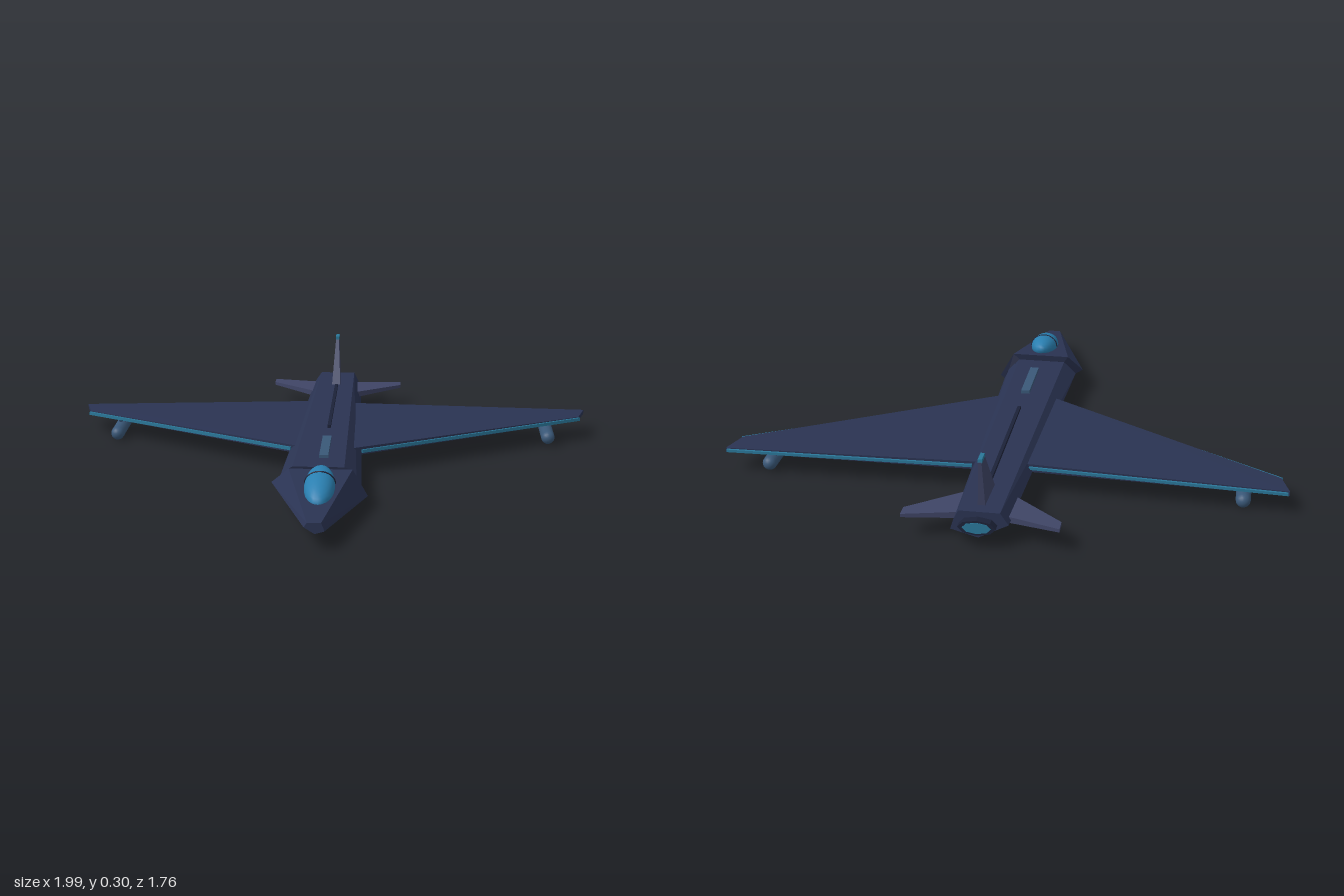
import * as THREE from 'three';
import { ConvexGeometry } from 'three/addons/geometries/ConvexGeometry.js';

const V = (x, y, z) => new THREE.Vector3(x, y, z);
const paint = (color, flatShading = true) => new THREE.MeshStandardMaterial({ color, flatShading });
const HULL = paint(0x2a3352), DARK = paint(0x1c2238), FIN = paint(0x3f4566);
const TRIM = paint(0x2a7799), POD = paint(0x3a5878, false), GLASS = paint(0x2a7fb0, false);

export function createModel() {
  const model = new THREE.Group();
  const add = (name, geometry, material, position) => {
    const mesh = new THREE.Mesh(geometry, material);
    mesh.name = name;
    if (position) mesh.position.set(...position);
    model.add(mesh);
    return mesh;
  };
  const hull = (name, points, material) =>
    add(name, new ConvexGeometry(points.map(p => V(...p))), material);
  // Straight strip between two points
  const bar = (name, a, b, w, h, material) => {
    const from = V(...a), to = V(...b);
    const mesh = add(name, new THREE.BoxGeometry(w, h, from.distanceTo(to)), material);
    mesh.position.copy(from).lerp(to, 0.5);
    mesh.lookAt(to);
  };
  const section = (z, outline) => outline.map(([x, y]) => [x, y, z]);

  // Faceted fuselage: nose, shoulder collar and long tapering body
  const shoulder = [[-0.11, 0.14], [0.11, 0.14], [0.14, 0.085], [0.163, 0.045], [0.005, 0.017], [-0.17, 0.09]];
  const front = [[-0.1, 0.134], [0.08, 0.134], [0.122, 0.09], [0.14, 0.05], [0.003, 0.018], [-0.147, 0.088]];
  const rear = [[-0.07, 0.124], [0.068, 0.124], [0.085, 0.09], [0.096, 0.055], [0.003, 0.03], [-0.098, 0.083]];
  const tip = [[-0.022, 0.094], [0.024, 0.094], [0.032, 0.075], [0.034, 0.065], [0.003, 0.056], [-0.032, 0.078]];
  hull('nose', [...section(0.48, shoulder), ...section(0.88, tip)], HULL);
  hull('shoulderCollar', [...section(0.48, shoulder), ...section(0.44, front)], DARK);
  hull('body', [...section(0.445, front), ...section(-0.85, rear)], HULL);

  // Canopy, leaning down with the nose, and its dark frame
  const canopy = add('canopy', new THREE.SphereGeometry(1, 20, 14), GLASS, [0.005, 0.128, 0.63]);
  canopy.scale.set(0.052, 0.045, 0.125);
  canopy.rotation.x = 0.2;
  const frame = add('canopyFrame', new THREE.TorusGeometry(1, 0.06, 6, 24, Math.PI), DARK, [0.005, 0.133, 0.605]);
  frame.scale.set(0.051, 0.044, 0.07);
  frame.rotation.x = 0.2;

  // Spine details and belly line
  bar('dorsalPanel', [0.003, 0.134, 0.34], [0.003, 0.133, 0.11], 0.032, 0.022, POD);
  bar('spineRidge', [0.003, 0.132, -0.03], [0.003, 0.128, -0.62], 0.012, 0.018, DARK);
  bar('bellyLine', [0.003, 0.02, 0.3], [0.003, 0.027, -0.65], 0.008, 0.008, TRIM);

  for (const s of [1, -1]) {
    const side = s > 0 ? 'left' : 'right';
    const yRoot = s > 0 ? 0.092 : 0.098, yTip = s > 0 ? 0.083 : 0.075;
    const edge = s > 0 ? 0 : -0.008;

    // Delta wing: thicker at the root, clipped tip
    const wing = [];
    for (const up of [1, -1]) {
      wing.push([s * 0.05, yRoot + up * 0.015, 0.165], [s * 0.05, yRoot + up * 0.015, -0.45],
        [s * 0.995, yTip + up * 0.008, -0.452 + edge], [s * 0.965, yTip + up * 0.008, -0.352 + edge]);
    }
    hull(side + 'Wing', wing, HULL);
    bar(side + 'LeadingEdge', [s * 0.13, yRoot - 0.002, 0.121], [s * 0.968, yTip, -0.35 + edge], 0.01, 0.012, TRIM);
    bar(side + 'TrailingEdge', [s * 0.1, yRoot, -0.452], [s * 0.99, yTip, -0.455 + edge], 0.012, 0.01, TRIM);

    // Underwing pod on a short pylon
    const podY = s > 0 ? 0.036 : 0.026;
    const pod = add(side + 'Pod', new THREE.CapsuleGeometry(0.026, 0.18, 6, 14), POD, [s * 0.84, podY, -0.345]);
    pod.rotation.x = Math.PI / 2;
    add(side + 'Pylon', new THREE.BoxGeometry(0.012, 0.04, 0.08), DARK, [s * 0.84, podY + 0.034, -0.37]);

    // Swept tailplane
    const tail = [], shift = s > 0 ? 0 : -0.02;
    for (const up of [1, -1]) {
      tail.push([s * 0.05, 0.083 + up * 0.012, -0.63], [s * 0.05, 0.083 + up * 0.012, -0.8],
        [s * 0.265, 0.083 + up * 0.006, -0.84 + shift], [s * 0.265, 0.083 + up * 0.006, -0.79 + shift]);
    }
    hull(side + 'Tailplane', tail, FIN);
  }

  // Tail fin with a coloured cap
  const fin = [];
  for (const s of [1, -1]) {
    fin.push([s * 0.018, 0.11, -0.64], [s * 0.013, 0.11, -0.8],
      [s * 0.006, 0.288, -0.825], [s * 0.006, 0.288, -0.768]);
  }
  hull('tailFin', fin, FIN);
  bar('finCap', [0, 0.292, -0.772], [0, 0.292, -0.822], 0.014, 0.014, TRIM);

  // Exhaust nozzle
  const nozzle = add('exhaustNozzle', new THREE.CylinderGeometry(0.064, 0.064, 0.06, 8), DARK, [0.003, 0.08, -0.85]);
  nozzle.rotation.x = Math.PI / 2;
  nozzle.scale.z = 0.42;
  const glow = add('exhaustCore', new THREE.CylinderGeometry(0.048, 0.048, 0.01, 8), TRIM, [0.003, 0.08, -0.877]);
  glow.rotation.x = Math.PI / 2;
  glow.scale.z = 0.42;

  return model;
}
